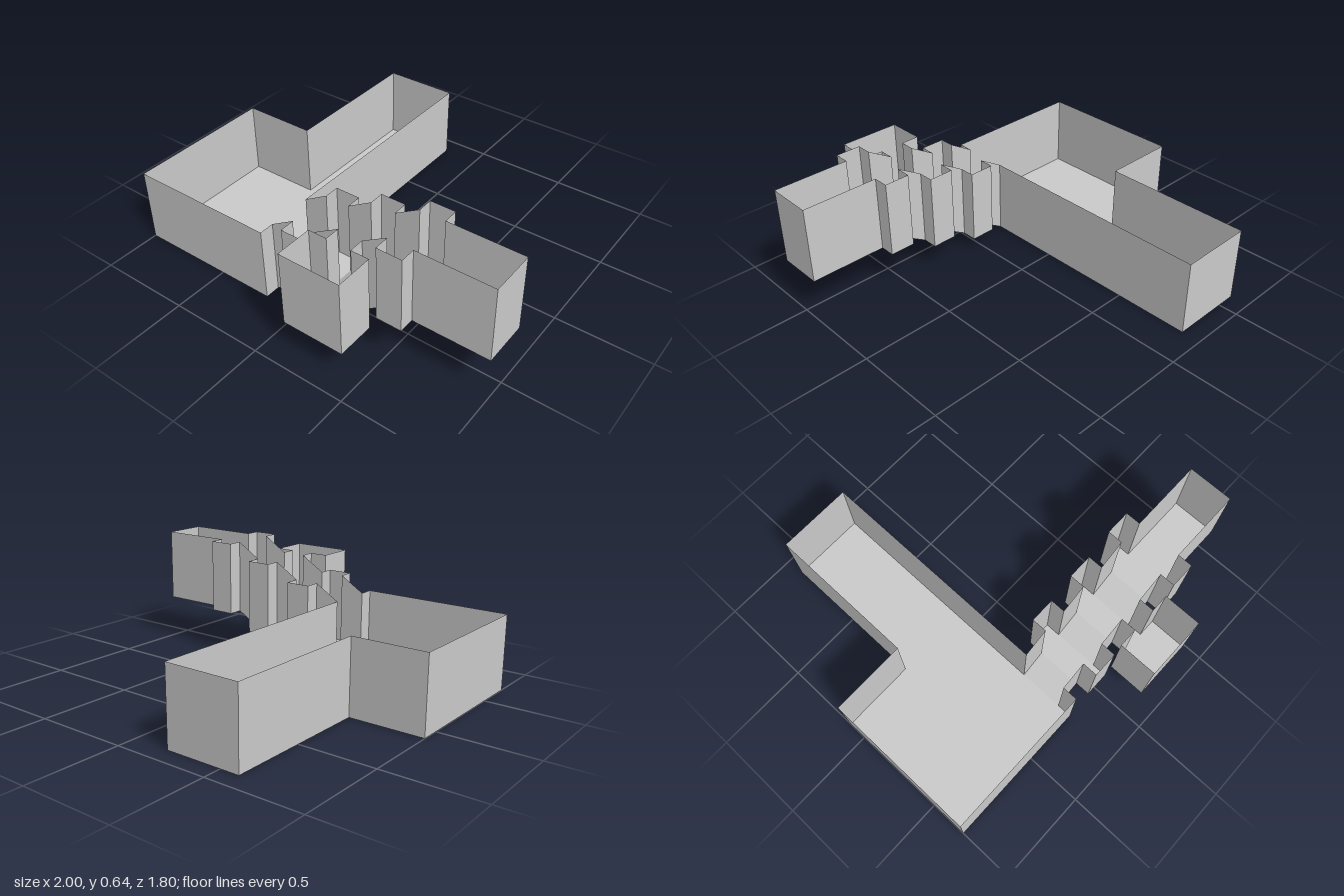
import * as THREE from 'three';

const WALL = 0.4; // wall height above the floor everywhere
const material = new THREE.MeshStandardMaterial({ color: 0xcccccc, flatShading: true, side: THREE.DoubleSide });

function makeMesh(name, positions) {
  const geometry = new THREE.BufferGeometry();
  geometry.setAttribute('position', new THREE.Float32BufferAttribute(positions, 3));
  geometry.computeVertexNormals();
  const mesh = new THREE.Mesh(geometry, material);
  mesh.name = name;
  return mesh;
}

// Roofless section: outline of [x, z] points, clockwise from above.
// floorAt(x) gives the floor level; edges listed in open are doorways without a wall.
function section(name, outline, floorAt, open = []) {
  const group = new THREE.Group();
  group.name = name;
  const points = outline.map(([x, z]) => [x, floorAt(x), z]);
  const contour = outline.map(([x, z]) => new THREE.Vector2(x, -z));

  const floor = THREE.ShapeUtils.triangulateShape(contour, []).flat().flatMap((i) => points[i]);
  group.add(makeMesh(name + 'Floor', floor));

  const walls = [];
  points.forEach((a, i) => {
    if (open.includes(i)) return;
    const b = points[(i + 1) % points.length];
    const aTop = [a[0], a[1] + WALL, a[2]];
    const bTop = [b[0], b[1] + WALL, b[2]];
    walls.push(...b, ...a, ...aTop, ...b, ...aTop, ...bTop);
  });
  group.add(makeMesh(name + 'Walls', walls));
  return group;
}

export function createModel() {
  const model = new THREE.Group();
  model.name = 'rooms';

  const zBack = 0.38, zFront = 0.62; // passage sides
  const nBack = 0.3, nFront = 0.7;   // landing alcove sides
  const start = -0.2, step = 0.4 / 3, rise = 0.08;

  // L-shaped main room with a doorway to the passage
  model.add(section('mainRoom', [
    [-0.6, -0.9], [start, -0.9], [start, zBack], [start, zFront],
    [start, nFront], [-1, nFront], [-1, -0.1], [-0.6, -0.1],
  ], () => 0, [2]));

  // Three ramps, each climbing to a wider landing
  for (let i = 0; i < 3; i++) {
    const x0 = start + 2 * i * step, x1 = x0 + step, x2 = x1 + step;
    const low = i * rise, high = low + rise;

    model.add(section('ramp' + (i + 1),
      [[x0, zBack], [x1, zBack], [x1, zFront], [x0, zFront]],
      (x) => (x === x0 ? low : high), [1, 3]));

    // The middle landing also opens forward into the side room
    model.add(section('landing' + (i + 1), [
      [x1, nBack], [x2, nBack], [x2, zBack], [x2, zFront],
      [x2, nFront], [x1, nFront], [x1, zFront], [x1, zBack],
    ], () => high, i === 1 ? [2, 4, 6] : [2, 6]));
  }

  // Side room in front of the middle landing
  const doorLeft = start + 3 * step, doorRight = start + 4 * step;
  model.add(section('sideRoom', [
    [0.1, nFront], [doorLeft, nFront], [doorRight, nFront],
    [0.43, nFront], [0.43, 0.9], [0.1, 0.9],
  ], () => 2 * rise, [1]));

  // Closed hallway at the upper end
  model.add(section('upperHall',
    [[0.6, zBack], [1, zBack], [1, zFront], [0.6, zFront]],
    () => 3 * rise, [3]));

  return model;
}
